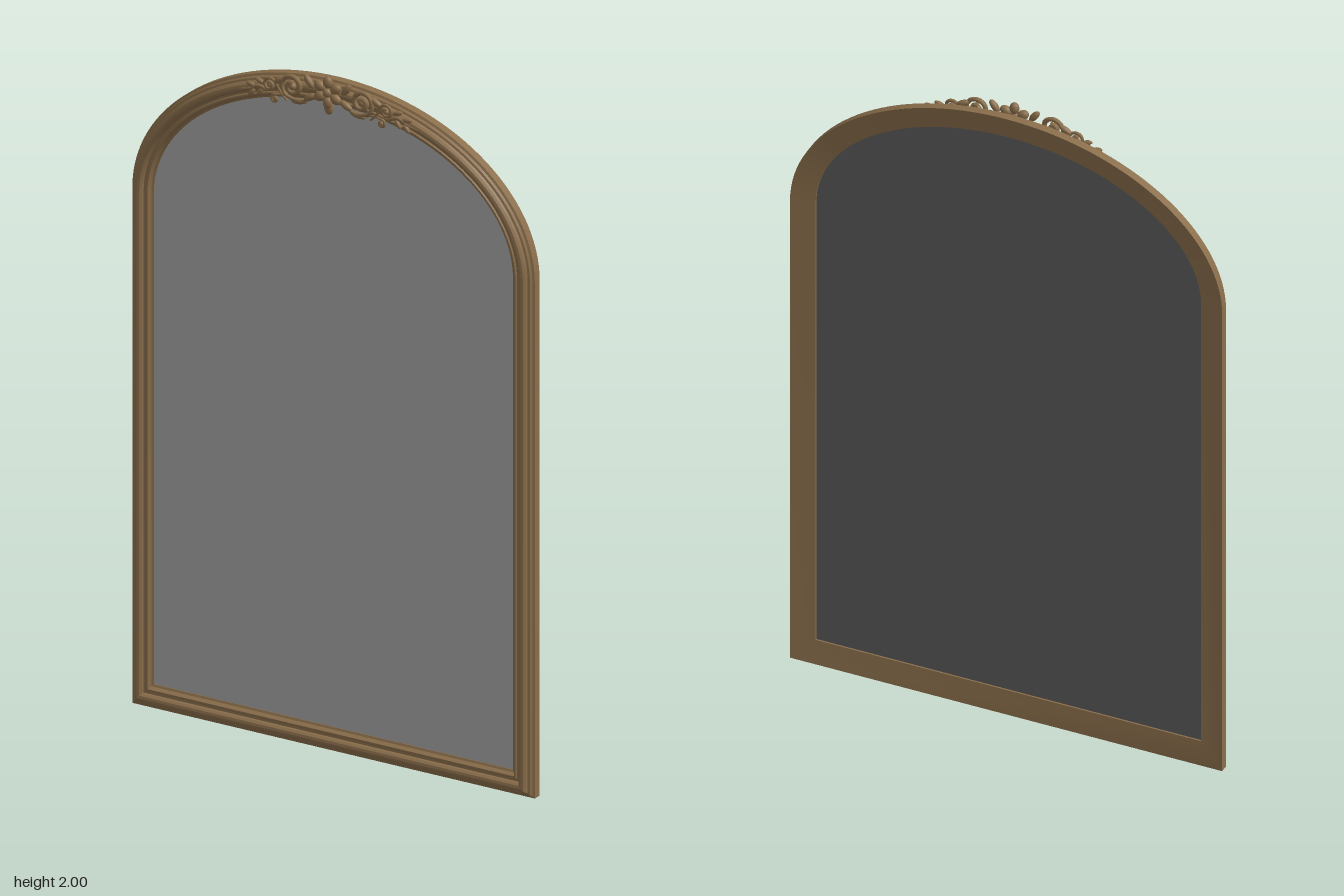
import * as THREE from 'three';
import { toCreasedNormals } from 'three/addons/utils/BufferGeometryUtils.js';

const W = 0.65, SPRING = 1.52, RISE = 0.46, ARCH_STEPS = 64;

// Closed arched outline, inset by d from the outer edge (counterclockwise from the front)
function outline(d) {
  const a = W - d, b = RISE - d;
  const pts = [new THREE.Vector2(-a, d), new THREE.Vector2(a, d)];
  for (let i = 0; i <= ARCH_STEPS; i++) {
    const t = (i / ARCH_STEPS) * Math.PI;
    pts.push(new THREE.Vector2(a * Math.cos(t), SPRING + b * Math.sin(t)));
  }
  return pts;
}

// Sweeps a moulding profile of [inset, z] pairs round the outline
function sweepFrame(profile) {
  const pos = [], idx = [];
  const n = ARCH_STEPS + 3, m = profile.length;
  for (const [d, z] of profile) for (const p of outline(d)) pos.push(p.x, p.y, z);
  for (let j = 0; j < m; j++) {
    const k = (j + 1) % m;
    for (let i = 0; i < n; i++) {
      const h = (i + 1) % n;
      const a = j * n + i, b = j * n + h, c = k * n + h, e = k * n + i;
      idx.push(a, b, c, a, c, e);
    }
  }
  const geo = new THREE.BufferGeometry();
  geo.setAttribute('position', new THREE.Float32BufferAttribute(pos, 3));
  geo.setIndex(idx);
  return toCreasedNormals(geo, 0.35);
}

// Tube that tapers from radius r0 to r1
function taperedTube(points, r0, r1, segments = 40) {
  const curve = new THREE.CatmullRomCurve3(points);
  const sides = 8;
  const geo = new THREE.TubeGeometry(curve, segments, 1, sides, false);
  const pos = geo.attributes.position, v = new THREE.Vector3();
  for (let i = 0; i <= segments; i++) {
    const c = curve.getPointAt(i / segments);
    const r = THREE.MathUtils.lerp(r0, r1, i / segments);
    for (let j = 0; j <= sides; j++) {
      const q = i * (sides + 1) + j;
      v.fromBufferAttribute(pos, q).sub(c).multiplyScalar(r).add(c);
      pos.setXYZ(q, v.x, v.y, v.z);
    }
  }
  return geo;
}

export function createModel() {
  const bronze = new THREE.MeshStandardMaterial({ color: 0x8a6e4b });
  bronze.name = 'antique bronze';
  const silver = new THREE.MeshStandardMaterial({ color: 0xa8a8a8 });
  silver.name = 'mirror silver';
  const grey = new THREE.MeshStandardMaterial({ color: 0x5e5e5e });
  grey.name = 'backing grey';

  const model = new THREE.Group();
  model.name = 'archedMirror';
  const add = (parent, name, geo, mat) => {
    const mesh = new THREE.Mesh(geo, mat);
    mesh.name = name;
    parent.add(mesh);
    return mesh;
  };

  // Moulded frame: stepped outer edge, main roll, cove, inner bead, sloped back
  add(model, 'frame', sweepFrame([
    [0, -0.035], [0, -0.010], [0.006, -0.007], [0.010, -0.001], [0.016, 0.001],
    [0.018, 0.008], [0.023, 0.014], [0.030, 0.016], [0.037, 0.014], [0.042, 0.008],
    [0.044, 0.002], [0.050, 0.001], [0.053, 0.005], [0.058, 0.005], [0.061, 0.000],
    [0.064, -0.006], [0.070, -0.009], [0.070, -0.020],
  ]), bronze);

  // Glass and backing
  const pane = new THREE.Shape(outline(0.068));
  add(model, 'mirrorGlass', new THREE.ShapeGeometry(pane), silver).position.z = -0.011;
  const back = add(model, 'mirrorBacking', new THREE.ShapeGeometry(pane), grey);
  back.rotation.y = Math.PI;
  back.position.z = -0.015;

  // Carved crest
  const crest = new THREE.Group();
  crest.name = 'crest';
  model.add(crest);
  const ball = new THREE.SphereGeometry(1, 14, 10);
  const lobe = (name, x, y, z, sx, sy, sz, angle = 0) => {
    const mesh = add(crest, name, ball, bronze);
    mesh.position.set(x, y, z);
    mesh.scale.set(sx, sy, sz);
    mesh.rotation.z = angle;
  };

  // Central flower
  for (let i = 0; i < 6; i++) {
    const a = Math.PI / 2 + (i * Math.PI) / 3;
    lobe('petal', 0.03 * Math.cos(a), 1.952 + 0.03 * Math.sin(a), 0.02, 0.018, 0.014, 0.012, a);
  }
  lobe('flowerHeart', 0, 1.952, 0.024, 0.013, 0.013, 0.011);
  lobe('flowerDrop', 0, 1.905, 0.014, 0.014, 0.02, 0.01);

  for (const s of [1, -1]) {
    // Spiral scroll whose outer end runs on as a stem to (tx, ty)
    const scroll = (name, cx, cy, radius, start, turn, tail, thick, z) => {
      const pts = tail.map(([x, y]) => new THREE.Vector3(s * x, y, z - 0.004));
      for (let i = 0; i <= 16; i++) {
        const t = i / 16, a = start + turn * t, r = radius * (1 - 0.75 * t);
        pts.push(new THREE.Vector3(s * (cx + r * Math.cos(a)), cy + r * Math.sin(a), z));
      }
      add(crest, name, taperedTube(pts, thick * 0.5, thick), bronze);
      lobe(name + 'Eye', s * cx, cy, z, thick * 1.3, thick * 1.3, thick * 1.2);
    };
    scroll('largeScroll', 0.112, 1.947, 0.036, -0.9, 9, [[0.05, 1.925], [0.09, 1.908]], 0.0085, 0.023);
    scroll('smallScroll', 0.188, 1.935, 0.021, 2.6, -8, [[0.135, 1.898], [0.155, 1.918]], 0.006, 0.019);
    scroll('lowerScroll', 0.172, 1.897, 0.013, 1.8, -7, [[0.12, 1.905], [0.145, 1.912]], 0.005, 0.018);

    // Leaves flanking the flower and filling between scrolls
    lobe('leaf', s * 0.06, 1.972, 0.02, 0.022, 0.010, 0.010, s * 0.9);
    lobe('leaf', s * 0.058, 1.925, 0.018, 0.022, 0.010, 0.010, s * -0.5);
    lobe('leaf', s * 0.155, 1.955, 0.018, 0.022, 0.009, 0.009, s * -0.5);
    lobe('leaf', s * 0.095, 1.905, 0.016, 0.026, 0.009, 0.009, s * -0.15);

    // Trailing tip with paired leaflets along the arch
    const tip = [[0.195, 1.915], [0.225, 1.922], [0.255, 1.908], [0.288, 1.900]];
    add(crest, 'trailingStem', taperedTube(
      tip.map(([x, y]) => new THREE.Vector3(s * x, y, 0.015)), 0.007, 0.002, 20), bronze);
    for (const [x, y, a] of [[0.222, 1.936, 0.3], [0.222, 1.905, -1.0], [0.252, 1.921, 0.2], [0.25, 1.897, -0.9]])
      lobe('leaflet', s * x, y, 0.013, 0.016, 0.007, 0.007, s * a);
  }
  return model;
}
